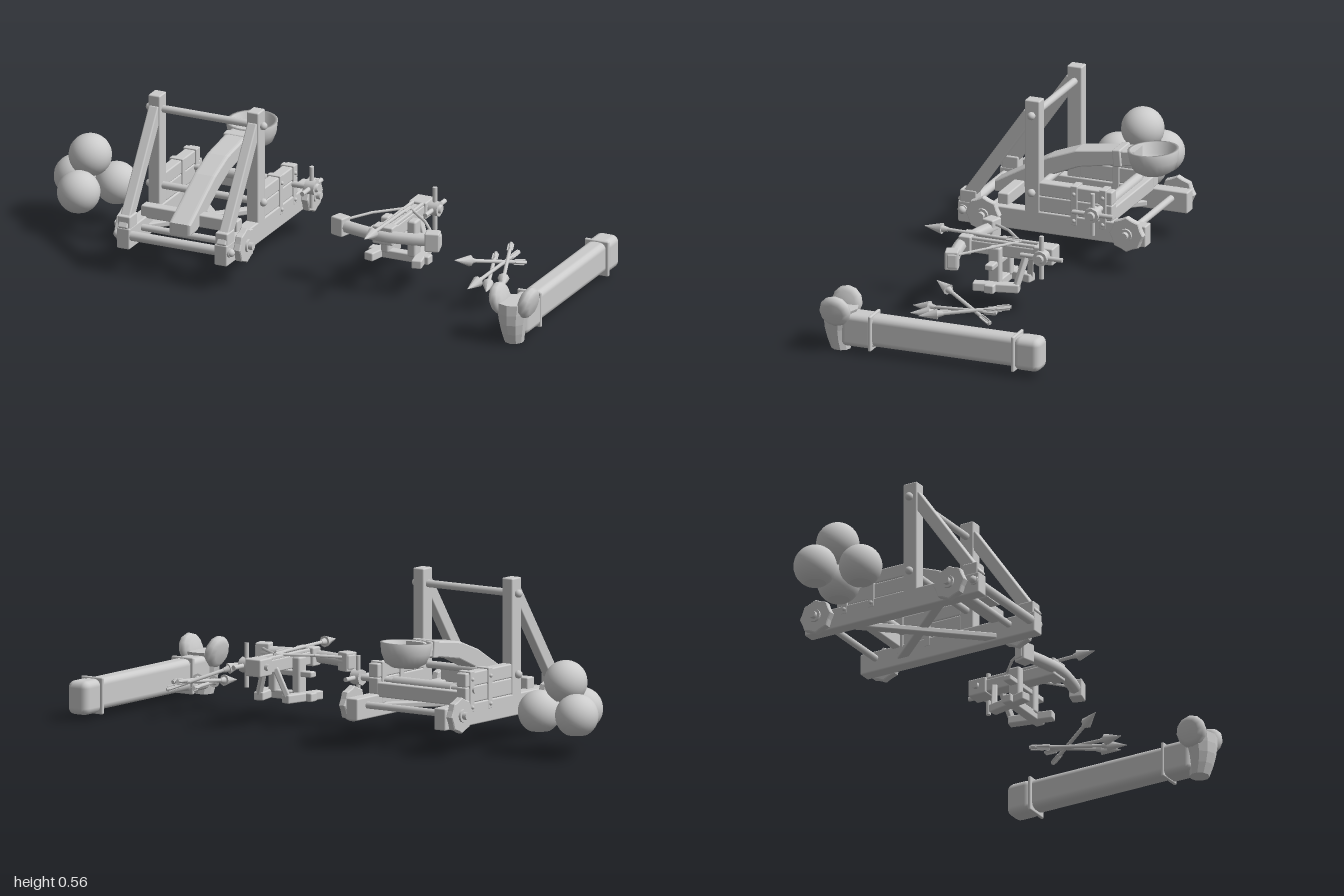
import * as THREE from 'three';
import { RoundedBoxGeometry } from 'three/addons/geometries/RoundedBoxGeometry.js';

const V = (p) => new THREE.Vector3(...p);
const mat = new THREE.MeshStandardMaterial({ color: 0xcccccc });
const flat = new THREE.MeshStandardMaterial({ color: 0xcccccc, flatShading: true });
const thin = new THREE.MeshStandardMaterial({ color: 0xcccccc, side: THREE.DoubleSide });

function add(parent, name, geometry, pos = [0, 0, 0], rot = [0, 0, 0], material = mat) {
  const m = new THREE.Mesh(geometry, material);
  m.name = name;
  m.position.set(...pos);
  m.rotation.set(...rot);
  parent.add(m);
  return m;
}

function group(parent, name, pos = [0, 0, 0]) {
  const g = new THREE.Group();
  g.name = name;
  g.position.set(...pos);
  parent.add(g);
  return g;
}

// Softened block
const box = (g, name, size, pos, rot, r = 0.005) =>
  add(g, name, new RoundedBoxGeometry(...size, 2, r), pos, rot);

// Stretches a z-aligned mesh between two points
function aim(m, a, b) {
  m.position.copy(V(a).add(V(b)).multiplyScalar(0.5));
  m.quaternion.setFromRotationMatrix(new THREE.Matrix4().lookAt(V(b), V(a), new THREE.Vector3(0, 1, 0)));
  return m;
}
const beam = (g, name, a, b, w, h) => aim(box(g, name, [w, h, V(a).distanceTo(V(b))], [0, 0, 0]), a, b);
const rod = (g, name, a, b, r, r2 = r, sides = 12) =>
  aim(add(g, name, new THREE.CylinderGeometry(r2, r, V(a).distanceTo(V(b)), sides).rotateX(Math.PI / 2)), a, b);

// Shaft with a pointed head and flat tail vanes
function arrow(parent, name, tip, tail) {
  const g = group(parent, name), t = V(tip), d = V(tail).sub(t);
  const at = (s) => t.clone().addScaledVector(d, s / d.length()).toArray();
  rod(g, 'shaft', at(0.06), tail, 0.0065, 0.0065, 8);
  rod(g, 'arrowhead', at(0.065), tip, 0.02, 0.001, 8);
  rod(g, 'headSocket', at(0.085), at(0.062), 0.008, 0.013, 8);
  const L = d.length();
  beam(g, 'vane', at(L - 0.05), at(L - 0.005), 0.022, 0.004);
  beam(g, 'vane', at(L - 0.05), at(L - 0.005), 0.004, 0.022);
}

// Hub with four crossed handles, turning about x
function winchHandle(parent, pos, reach) {
  const g = group(parent, 'winchHandle', pos);
  rod(g, 'hub', [-0.018, 0, 0], [0.018, 0, 0], 0.027, 0.027, 8);
  rod(g, 'hubCap', [0.018, 0, 0], [0.026, 0, 0], 0.016, 0.012);
  rod(g, 'handle', [0, -reach, 0], [0, reach, 0], 0.008);
  rod(g, 'handle', [0, 0, -reach], [0, 0, reach], 0.008);
}

function buildStoneBalls(root) {
  const g = group(root, 'stoneBalls');
  const cut = 2.62, r = 0.0735;
  const ball = new THREE.SphereGeometry(r, 24, 16, 0, Math.PI * 2, 0, cut);
  const base = new THREE.CircleGeometry(r * Math.sin(cut), 24).rotateX(Math.PI / 2);
  for (const p of [[-0.926, 0.147, -0.068], [-0.772, 0.147, -0.068], [-0.85, 0.147, 0.065], [-0.85, 0.25, -0.025]]) {
    add(g, 'ball', ball, p);
    add(g, 'ballBase', base, [p[0], p[1] + r * Math.cos(cut), p[2]]);
  }
}

function buildCatapult(root) {
  const g = group(root, 'catapult', [-0.361, 0, 0]);
  // Scalloped wheel outline
  const outline = new THREE.Shape();
  for (let i = 0; i < 32; i++) {
    const a = (i / 32) * Math.PI * 2, r = 0.058 - 0.006 * Math.abs(Math.sin(a * 4));
    outline[i ? 'lineTo' : 'moveTo'](Math.cos(a) * r, Math.sin(a) * r);
  }
  const wheel = new THREE.ExtrudeGeometry(outline, { depth: 0.02, bevelSize: 0.003, bevelThickness: 0.003, bevelSegments: 1 })
    .translate(0, 0, -0.01).rotateY(Math.PI / 2);

  // Side frames
  for (const s of [-1, 1]) {
    const side = group(g, s > 0 ? 'leftFrame' : 'rightFrame');
    box(side, 'rail', [0.048, 0.075, 0.685], [s * 0.182, 0.132, 0.016]);
    box(side, 'post', [0.044, 0.42, 0.054], [s * 0.184, 0.353, 0.088]);
    beam(side, 'brace', [s * 0.184, 0.16, 0.345], [s * 0.184, 0.515, 0.1], 0.036, 0.044);
    box(side, 'braceFoot', [0.046, 0.05, 0.06], [s * 0.182, 0.185, 0.322]);
    box(side, 'upperPlank', [0.04, 0.048, 0.27], [s * 0.182, 0.249, -0.067]);
    box(side, 'lowerPlank', [0.04, 0.056, 0.27], [s * 0.182, 0.197, -0.067]);
    for (const z of [-0.065, -0.17]) {
      box(side, 'strap', [0.05, 0.14, 0.024], [s * 0.182, 0.208, z], undefined, 0.003);
      for (const y of [0.25, 0.155]) add(side, 'bolt', new THREE.SphereGeometry(0.007, 8, 6), [s * 0.207, y, z]);
    }
    for (const z of [0.257, -0.267]) {
      add(side, 'wheel', wheel, [s * 0.222, 0.142, z], undefined, flat);
      rod(side, 'wheelHub', [s * 0.205, 0.142, z], [s * 0.242, 0.142, z], 0.026, 0.022);
      rod(side, 'axlePeg', [s * 0.235, 0.142, z], [s * 0.257, 0.142, z], 0.013);
    }
    for (const [y, z] of [[0.51, 0.088], [0.235, 0.088], [0.14, 0.34]])
      add(side, 'pegEnd', new THREE.SphereGeometry(0.014, 12, 8), [s * 0.212, y, z]);
    beam(side, 'floorBrace', [s * 0.17, 0.12 + s * 0.008, -0.17], [-s * 0.17, 0.12 + s * 0.008, 0.2], 0.034, 0.02);
  }

  // Bars joining the frames
  const bar = (name, y, z, r, x = 0.212) => rod(g, name, [-x, y, z], [x, y, z], r);
  bar('topBar', 0.51, 0.088, 0.013);
  bar('middleBar', 0.235, 0.088, 0.013);
  bar('frontBar', 0.14, 0.34, 0.017);
  bar('frontAxle', 0.142, 0.257, 0.012, 0.24);
  bar('rearAxle', 0.142, -0.267, 0.012, 0.24);
  box(g, 'frontBeam', [0.36, 0.045, 0.04], [0, 0.185, 0.205]);
  box(g, 'rearBeam', [0.36, 0.05, 0.032], [0, 0.185, -0.185]);
  rod(g, 'winchAxle', [-0.215, 0.213, -0.162], [0.285, 0.213, -0.162], 0.011);
  rod(g, 'winchDrum', [-0.12, 0.213, -0.162], [0.12, 0.213, -0.162], 0.018);
  winchHandle(g, [0.272, 0.213, -0.162], 0.074);

  // Bent throwing arm
  const arm = new THREE.Shape([[-0.29, 0.16], [-0.29, 0.19], [-0.1, 0.298], [0, 0.336], [0.14, 0.356], [0.21, 0.36],
    [0.21, 0.318], [0.14, 0.312], [0.01, 0.288], [-0.08, 0.25], [-0.24, 0.16]].map((p) => new THREE.Vector2(...p)));
  add(g, 'throwingArm', new THREE.ExtrudeGeometry(arm, { depth: 0.056, bevelSize: 0.006, bevelThickness: 0.012, bevelSegments: 3 })
    .translate(0, 0, -0.028).rotateY(Math.PI / 2), [-0.001, 0, 0]);
  box(g, 'armBand', [0.094, 0.06, 0.03], [0, 0.336, -0.153], [0.1, 0, 0]);
  const cup = [[0, 0], [0.045, 0.003], [0.07, 0.018], [0.083, 0.05], [0.088, 0.088], [0.077, 0.088], [0.069, 0.05], [0.045, 0.024], [0, 0.018]];
  add(g, 'cup', new THREE.LatheGeometry(cup.map((p) => new THREE.Vector2(...p)), 24), [-0.002, 0.283, -0.273], [0.06, 0, 0], thin);
}

function buildBallista(root) {
  const g = group(root, 'ballista', [0.321, 0, 0]);
  // Stock
  box(g, 'stock', [0.052, 0.045, 0.33], [0, 0.208, -0.025]);
  box(g, 'stockEnd', [0.064, 0.06, 0.07], [0, 0.21, -0.165]);
  for (const s of [-1, 1]) box(g, 'guideRail', [0.012, 0.014, 0.27], [s * 0.018, 0.234, 0]);
  box(g, 'bowMount', [0.075, 0.064, 0.045], [0, 0.212, 0.12]);
  // Bow and string
  const curve = new THREE.CatmullRomCurve3([[-0.175, 0.21, 0.103], [-0.09, 0.21, 0.125], [0, 0.21, 0.137], [0.09, 0.21, 0.125], [0.175, 0.21, 0.103]].map(V));
  add(g, 'bow', new THREE.TubeGeometry(curve, 16, 0.022, 8));
  for (const s of [-1, 1]) {
    box(g, 'bowTip', [0.05, 0.066, 0.046], [s * 0.172, 0.21, 0.107], [0, s * 0.28, 0]);
    box(g, 'bowTipCap', [0.018, 0.05, 0.034], [s * 0.19, 0.21, 0.1], [0, s * 0.28, 0]);
    rod(g, 'string', [s * 0.165, 0.225, 0.09], [s * 0.1, 0.235, 0.015], 0.005, 0.005, 8);
    rod(g, 'string', [s * 0.1, 0.235, 0.015], [0, 0.24, -0.07], 0.005, 0.005, 8);
    // Stand
    box(g, 'upright', [0.032, 0.13, 0.044], [s * 0.05, 0.165, 0], undefined, 0.008);
    beam(g, 'runner', [s * 0.055, 0.095, -0.09], [s * 0.09, 0.095, 0.065], 0.036, 0.03);
    beam(g, 'strut', [s * 0.06, 0.1, -0.08], [s * 0.022, 0.2, -0.1], 0.02, 0.02);
  }
  box(g, 'baseCrossbeam', [0.225, 0.03, 0.035], [0, 0.095, 0]);
  box(g, 'topCrossbeam', [0.22, 0.02, 0.03], [0, 0.172, 0]);
  // Winch and loaded bolt
  rod(g, 'winchAxle', [-0.045, 0.212, -0.167], [0.045, 0.212, -0.167], 0.012);
  winchHandle(g, [0.048, 0.212, -0.167], 0.076);
  arrow(g, 'loadedBolt', [0, 0.248, 0.28], [0, 0.242, -0.07]);
}

function buildLooseArrows(root) {
  const g = group(root, 'looseArrows');
  const pairs = [[[0.583, 0.162, 0.125], [0.727, 0.09, -0.13]], [[0.658, 0.09, 0.18], [0.695, 0.12, -0.14]],
    [[0.72, 0.085, 0.165], [0.615, 0.105, -0.13]], [[0.756, 0.092, 0.12], [0.65, 0.13, -0.175]]];
  for (const [tip, tail] of pairs) arrow(g, 'arrow', tip, tail);
}

function buildRam(root) {
  const g = group(root, 'batteringRam', [0.908, 0, 0]);
  box(g, 'log', [0.07, 0.108, 0.66], [0, 0.081, -0.02], undefined, 0.022);
  box(g, 'rearCap', [0.084, 0.116, 0.097], [0, 0.078, -0.3515], undefined, 0.024);
  box(g, 'rearCollar', [0.09, 0.126, 0.012], [0, 0.078, -0.305]);
  box(g, 'frontSleeve', [0.084, 0.116, 0.12], [0, 0.078, 0.265], undefined, 0.02);
  box(g, 'frontCollar', [0.09, 0.126, 0.012], [0, 0.078, 0.217]);
  // Tapered head with a forward-bulging brow
  const head = new THREE.CylinderGeometry(0.06, 0.034, 0.145, 10, 4);
  const p = head.attributes.position;
  for (let i = 0; i < p.count; i++) p.setZ(i, p.getZ(i) + 0.012 * Math.cos(p.getY(i) * 20));
  head.computeVertexNormals();
  add(g, 'ramHead', head, [0, 0.074, 0.336], undefined, flat);
  // Thick round horns leaning outward
  const horn = new THREE.LatheGeometry([[0, -0.024], [0.036, -0.023], [0.051, -0.013], [0.056, 0], [0.051, 0.013], [0.036, 0.023], [0, 0.024]]
    .map((q) => new THREE.Vector2(...q)), 12).rotateZ(-Math.PI / 2);
  for (const s of [-1, 1]) add(g, s > 0 ? 'leftHorn' : 'rightHorn', horn, [s * 0.053, 0.147, 0.338], [0, 0, -s * 0.24]);
}

export function createModel() {
  const root = new THREE.Group();
  root.name = 'siegeEngines';
  buildStoneBalls(root);
  buildCatapult(root);
  buildBallista(root);
  buildLooseArrows(root);
  buildRam(root);
  return root;
}
